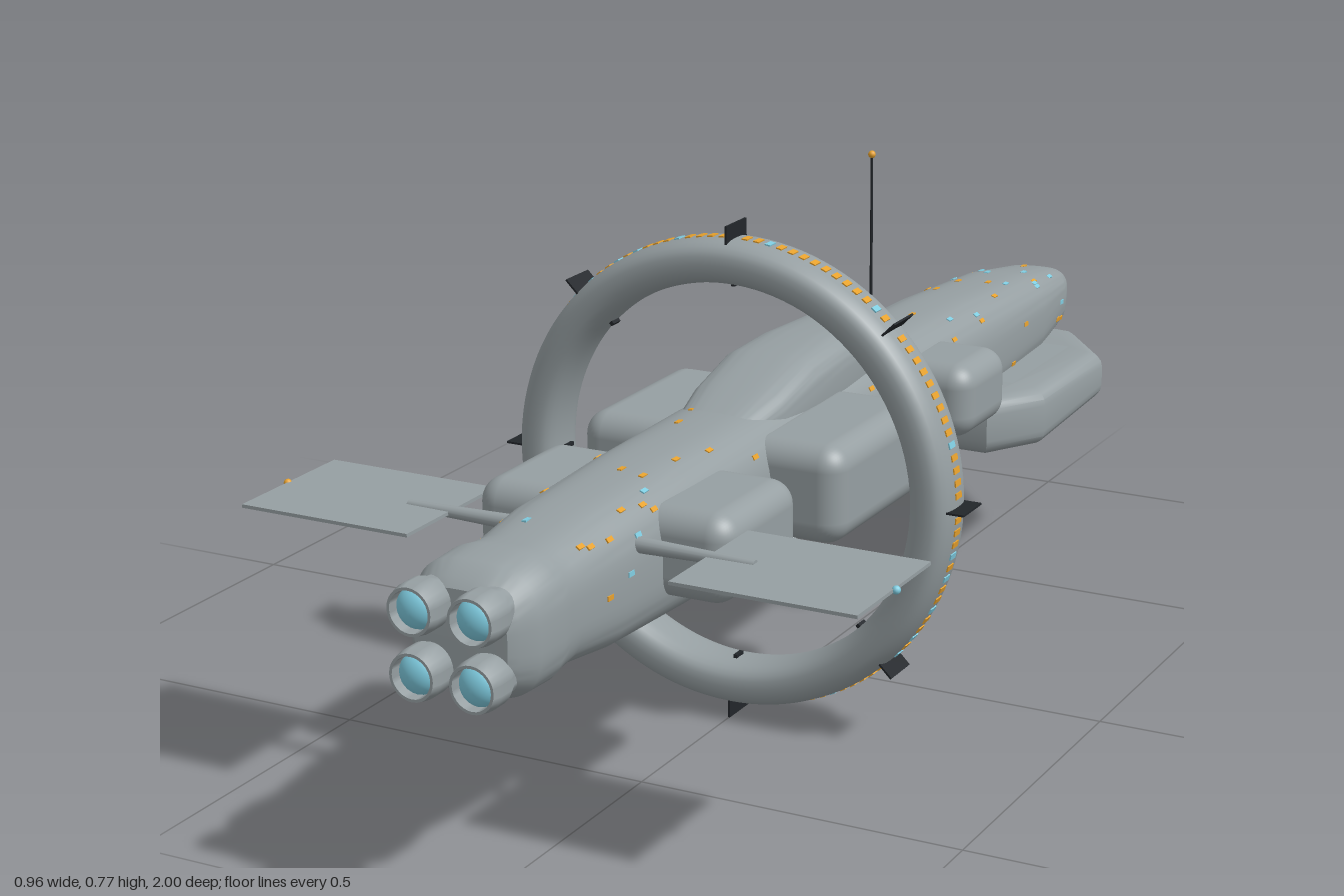
import * as THREE from 'three';
import { mergeGeometries, toCreasedNormals } from 'three/addons/utils/BufferGeometryUtils.js';
import { RoundedBoxGeometry } from 'three/addons/geometries/RoundedBoxGeometry.js';

const material = (name, color) => {
  const m = new THREE.MeshStandardMaterial({ color });
  m.name = name;
  return m;
};

// point on a rounded-square cross-section
const sectionPoint = ([z, w, yc, h], a, n) => {
  const p = (v) => Math.sign(v) * Math.pow(Math.abs(v), 2 / n);
  return [w * p(Math.cos(a)), yc + h * p(Math.sin(a)), z];
};

// skin over cross-sections [z, halfWidth, centreY, halfHeight]
function loft(stations, n, sides = 64) {
  const pos = [], idx = [];
  stations.forEach((s, i) => {
    for (let j = 0; j < sides; j++) {
      pos.push(...sectionPoint(s, (j / sides) * Math.PI * 2, n));
      if (i === stations.length - 1) continue;
      const a = i * sides + j, b = i * sides + (j + 1) % sides;
      idx.push(a, b, a + sides, b, b + sides, a + sides);
    }
  });
  const g = new THREE.BufferGeometry();
  g.setAttribute('position', new THREE.Float32BufferAttribute(pos, 3));
  g.setIndex(idx);
  return toCreasedNormals(g, 0.6);
}

const hullStations = [
  [-1, 0.001, 0.38, 0.001], [-0.997, 0.016, 0.38, 0.014], [-0.985, 0.03, 0.38, 0.026],
  [-0.95, 0.047, 0.38, 0.04], [-0.9, 0.065, 0.38, 0.053], [-0.75, 0.088, 0.38, 0.076],
  [-0.5, 0.099, 0.379, 0.093], [0, 0.104, 0.378, 0.108], [0.25, 0.106, 0.38, 0.111],
  [0.5, 0.104, 0.38, 0.108], [0.7, 0.099, 0.38, 0.1], [0.8, 0.09, 0.38, 0.088],
  [0.83, 0.092, 0.38, 0.09], [0.855, 0.096, 0.38, 0.094], [0.91, 0.095, 0.38, 0.092],
  [0.94, 0.082, 0.38, 0.078], [0.952, 0.07, 0.38, 0.066], [0.953, 0.001, 0.38, 0.001],
];
const HULL_N = 2.9;

function hullStationAt(z) {
  const i = hullStations.findIndex((s) => s[0] > z);
  const a = hullStations[i - 1], b = hullStations[i];
  const t = (z - a[0]) / (b[0] - a[0]);
  return a.map((v, k) => v + (b[k] - v) * t);
}

export function createModel() {
  const root = new THREE.Group();
  const hull = material('hull grey', 0x969fa2);
  const dark = material('dark metal', 0x22262a);
  const amber = material('amber light', 0xf0a830);
  const cyan = material('cyan glow', 0x7fcce0);
  const pale = material('bay ceiling', 0xd4d9dc);

  const add = (name, geo, mat, x = 0, y = 0, z = 0, parent = root) => {
    const m = new THREE.Mesh(geo, mat);
    m.name = name;
    m.position.set(x, y, z);
    parent.add(m);
    return m;
  };
  let seed = 11;
  const rand = () => (seed = (seed * 16807) % 2147483647) / 2147483647;

  // main body and dorsal superstructure
  add('hull', loft(hullStations, HULL_N), hull);
  add('dorsalBridge', loft([
    [-0.156, 0.001, 0.48, 0.001], [-0.155, 0.054, 0.48, 0.042], [-0.147, 0.067, 0.48, 0.052],
    [-0.13, 0.072, 0.48, 0.056], [0, 0.08, 0.48, 0.06], [0.1, 0.083, 0.476, 0.06],
    [0.2, 0.078, 0.46, 0.052], [0.29, 0.06, 0.45, 0.036], [0.291, 0.001, 0.45, 0.001],
  ], 3.4), hull);

  // side pods: z range, y range, outer x
  for (const [z0, z1, y0, y1, x] of [
    [-0.36, -0.195, 0.335, 0.453, 0.19],
    [0.0, 0.3, 0.32, 0.468, 0.213],
    [0.39, 0.608, 0.33, 0.46, 0.2],
  ]) for (const s of [-1, 1]) {
    const g = new RoundedBoxGeometry(x - 0.05, y1 - y0, z1 - z0, 5, 0.036);
    add('sidePod', g, hull, s * (x + 0.05) / 2, (y0 + y1) / 2, (z0 + z1) / 2);
  }

  // ventral hangar with an open bay underneath
  const half = [[0.07, -0.87], [0.1, -0.865], [0.195, -0.75], [0.195, -0.5], [0.135, -0.4]];
  const outline = new THREE.Shape([...half, ...half.map(([x, z]) => [-x, z]).reverse()]
    .map(([x, z]) => new THREE.Vector2(x, z)));
  const bay = [[-0.105, -0.73], [-0.105, -0.54], [0.105, -0.54], [0.105, -0.73]];
  outline.holes.push(new THREE.Path(bay.map(([x, z]) => new THREE.Vector2(x, z))));
  const bev = 0.026;
  const hangar = new THREE.ExtrudeGeometry(outline, {
    depth: 0.095 - 2 * bev, bevelSize: bev, bevelThickness: bev, bevelOffset: -bev, bevelSegments: 4,
  });
  hangar.rotateX(Math.PI / 2).translate(0, 0.34 - bev, 0);
  const hp = hangar.attributes.position;
  for (let i = 0; i < hp.count; i++) {
    const z = hp.getZ(i), y = hp.getY(i);
    if (y < 0.29 && z < -0.58) hp.setY(i, y + (-0.58 - z) * 0.07);
  }
  add('hangar', toCreasedNormals(hangar, 0.6), hull);
  add('hangarRoof', new THREE.BoxGeometry(0.29, 0.04, 0.27), hull, 0, 0.32, -0.635);
  add('bayCeiling', new THREE.BoxGeometry(0.25, 0.02, 0.23), pale, 0, 0.291, -0.635);
  for (const s of [-1, 1]) {
    add('bayLight', new THREE.BoxGeometry(0.009, 0.009, 0.19), amber, s * 0.102, 0.272, -0.635);
    add('bayLight', new THREE.BoxGeometry(0.2, 0.009, 0.009), amber, 0, 0.272, -0.635 + s * 0.092);
  }

  // engines: bell with a glowing dome
  const bell = [[0.028, 0.92], [0.03, 0.945], [0.036, 0.96], [0.036, 0.985], [0.033, 1], [0.029, 1], [0.028, 0.975]];
  const bellGeo = toCreasedNormals(new THREE.LatheGeometry(
    bell.map(([r, z]) => new THREE.Vector2(r, z)), 28).rotateX(Math.PI / 2), 0.6);
  const domeGeo = new THREE.SphereGeometry(0.029, 24, 8, 0, Math.PI * 2, 0, Math.PI / 2)
    .rotateX(Math.PI / 2).scale(1, 1, 0.7);
  for (const x of [-0.045, 0.045]) for (const y of [0.335, 0.424]) {
    add('engineBell', bellGeo, hull, x, y, 0);
    add('engineGlow', domeGeo, cyan, x, y, 0.979);
  }

  // habitat ring
  const ring = new THREE.Group();
  ring.name = 'habitatRing';
  ring.position.set(0, 0.38, 0.205);
  root.add(ring);
  const profile = [];
  for (let i = 0; i <= 24; i++) {
    const [x, y] = sectionPoint([0, 0.033, 0, 0.0475], (i / 24) * Math.PI * 2, 2.6);
    profile.push(new THREE.Vector2(0.322 + x, y));
  }
  add('ringTube', new THREE.LatheGeometry(profile, 120).rotateX(Math.PI / 2), hull, 0, 0, 0, ring);
  const radial = (sx, sy, sz, r, a) =>
    new THREE.BoxGeometry(sx, sy, sz).translate(r, 0, 0).rotateZ(a);
  const fins = [];
  for (let i = 0; i < 8; i++) {
    const a = (i * Math.PI) / 4;
    fins.push(radial(0.04, 0.003, 0.062, 0.357, a), radial(0.008, 0.006, 0.02, 0.288, a));
  }
  add('ringFins', mergeGeometries(fins), dark, 0, 0, 0, ring);

  // short stubs under the hull inside the ring
  for (const a of [-0.75, -0.5, -0.25]) {
    add('hullStub', new THREE.CylinderGeometry(0.006, 0.006, 0.06, 10)
      .rotateZ(Math.PI / 2).translate(0.122, 0, 0).rotateZ(a * Math.PI), hull, 0, 0, 0, ring);
  }

  // window lights round the ring rim
  const lights = { amber: [], cyan: [] };
  for (let i = 0; i < 120; i++) {
    if (i % 15 === 0) continue;
    lights[rand() < 0.78 ? 'amber' : 'cyan'].push(
      radial(0.002, 0.009, 0.018, 0.3555, (i / 120) * Math.PI * 2).translate(0, 0.38, 0.205));
  }
  // scattered windows on the hull
  for (let i = 0; i < 120; i++) {
    const z = -0.88 + rand() * 1.66, a = -0.35 + rand() * (Math.PI + 0.7);
    const st = hullStationAt(z);
    const p = sectionPoint(st, a, HULL_N), q = sectionPoint(st, a + 0.02, HULL_N);
    const normal = Math.atan2(q[1] - p[1], q[0] - p[0]) - Math.PI / 2;
    lights[rand() < 0.7 ? 'amber' : 'cyan'].push(
      new THREE.BoxGeometry(0.003, 0.007, 0.014).rotateZ(normal).translate(...p));
  }
  add('amberWindows', mergeGeometries(lights.amber), amber);
  add('cyanWindows', mergeGeometries(lights.cyan), cyan);

  // radiator panels on booms with tip lamps
  const lamp = new THREE.SphereGeometry(0.006, 12, 8);
  for (const s of [-1, 1]) {
    add('panel', new THREE.BoxGeometry(0.27, 0.005, 0.22), hull, s * 0.335, 0.428, 0.66);
    add('panelBoom', new THREE.CylinderGeometry(0.007, 0.012, 0.2, 14).rotateZ(-s * Math.PI / 2),
      hull, s * 0.169, 0.428, 0.66);
    add('panelLamp', lamp, s > 0 ? cyan : amber, s * 0.472, 0.428, 0.66);
  }

  // antenna mast
  add('mast', new THREE.CylinderGeometry(0.002, 0.0025, 0.225, 8), dark, 0, 0.6525, -0.245);
  add('mastLamp', lamp, amber, 0, 0.765, -0.245);

  return root;
}
